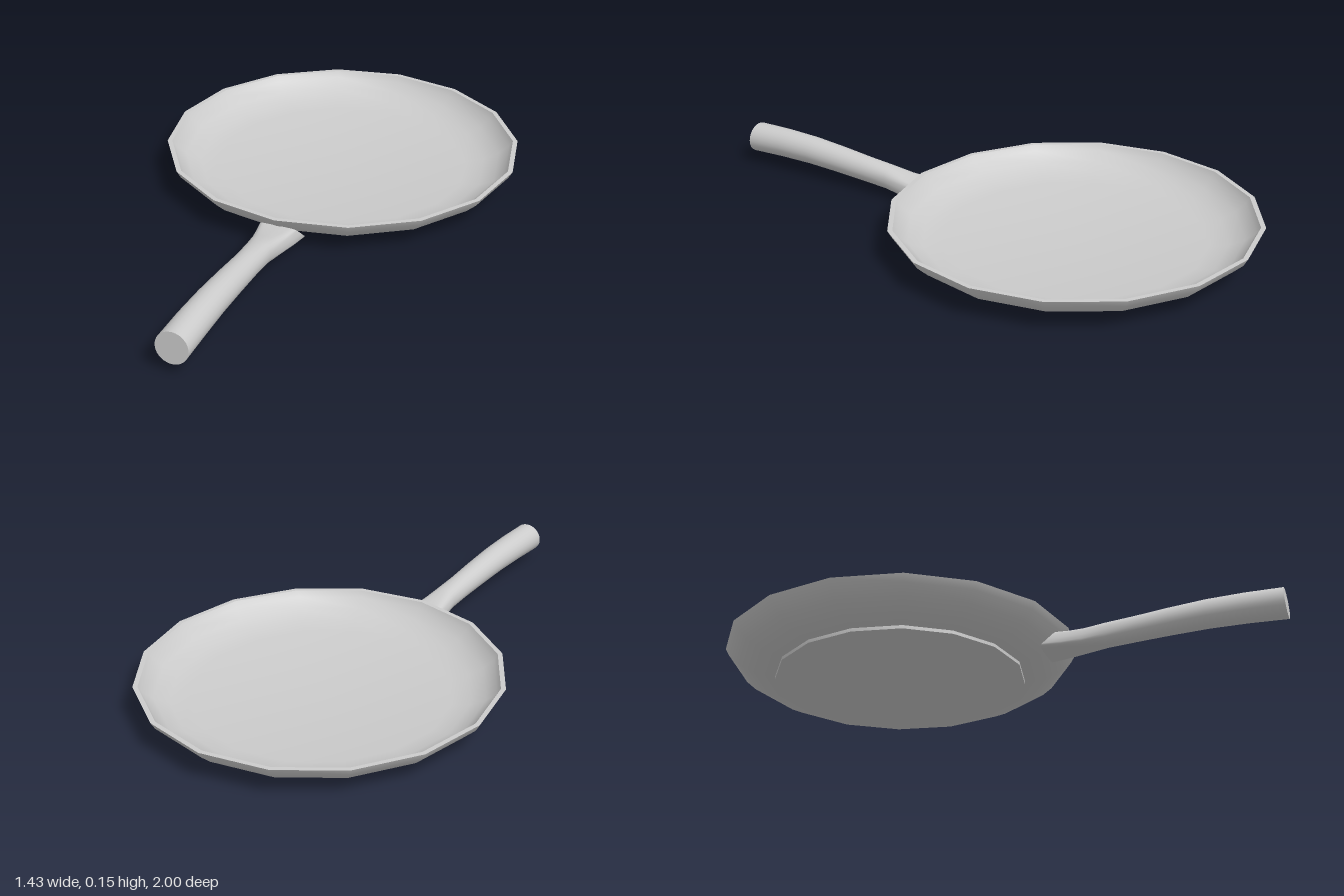
import * as THREE from 'three';
import { toCreasedNormals } from 'three/addons/utils/BufferGeometryUtils.js';

const SIDES = 16;
const material = new THREE.MeshStandardMaterial({ color: 0xcccccc });

function part(name, geometry, crease = 0.6) {
  const mesh = new THREE.Mesh(toCreasedNormals(geometry, crease), material);
  mesh.name = name;
  return mesh;
}

// Profile turned about the vertical axis, one corner pointing at the handle
function turned(profile) {
  return new THREE.LatheGeometry(profile.map(([r, y]) => new THREE.Vector2(r, y)), SIDES);
}

// Skin over cross-sections along +z, closed with a cap at each end.
// z, centre height, half width, half height, squareness, taper to the top, slant
function loft(sections, sides) {
  const positions = [], index = [];
  const power = (v, p) => Math.sign(v) * Math.abs(v) ** p;
  for (const [z, cy, hx, hy, square, taper, slant] of sections) {
    for (let j = 0; j < sides; j++) {
      const a = (j / sides) * Math.PI * 2;
      const c = power(Math.cos(a), square), s = power(Math.sin(a), square);
      positions.push(hx * c * (1 - taper * s), cy + hy * s, z + slant * hy * s);
    }
  }
  const rings = sections.length;
  for (let i = 0; i < rings - 1; i++) {
    for (let j = 0; j < sides; j++) {
      const a = i * sides + j, b = i * sides + (j + 1) % sides;
      index.push(a, b, a + sides, b, b + sides, a + sides);
    }
  }
  const first = rings * sides, last = first + 1, end = (rings - 1) * sides;
  const startSection = sections[0], endSection = sections[rings - 1];
  positions.push(0, startSection[1], startSection[0], 0, endSection[1], endSection[0]);
  for (let j = 0; j < sides; j++) {
    const k = (j + 1) % sides;
    index.push(first, k, j, last, end + j, end + k);
  }
  const geometry = new THREE.BufferGeometry();
  geometry.setAttribute('position', new THREE.Float32BufferAttribute(positions, 3));
  geometry.setIndex(index);
  return geometry;
}

export function createModel() {
  const pan = new THREE.Group();
  pan.name = 'fryingPan';

  // Shallow dish: underside, flared wall, rim, inside wall and floor
  pan.add(part('dish', turned([
    [0, 0.012], [0.5, 0.013], [0.56, 0.027], [0.62, 0.058], [0.66, 0.095], [0.675, 0.122],
    [0.657, 0.122], [0.643, 0.1], [0.605, 0.068], [0.55, 0.044], [0.48, 0.032], [0, 0.028],
  ])));

  // Thin plate under the dish
  pan.add(part('basePlate', turned([[0, 0], [0.48, 0], [0.48, 0.014], [0, 0.014]])));

  // Handle: broad boxy foot against the wall, narrow neck, round grip
  pan.add(part('handle', loft([
    [0.615, 0.055, 0.078, 0.031, 0.3, 0.13, 1],
    [0.675, 0.056, 0.068, 0.033, 0.4, 0.12, 0.6],
    [0.74, 0.06, 0.058, 0.037, 0.6, 0.08, 0.2],
    [0.82, 0.069, 0.049, 0.044, 0.85, 0, 0],
    [0.93, 0.077, 0.049, 0.048, 1, 0, 0],
    [1.06, 0.087, 0.052, 0.051, 1, 0, 0],
    [1.2, 0.095, 0.055, 0.054, 1, 0, 0],
    [1.34, 0.096, 0.058, 0.056, 1, 0, 0],
    [1.485, 0.092, 0.059, 0.058, 1, 0, -0.05],
  ], 24), 0.7));

  pan.rotation.y = THREE.MathUtils.degToRad(28.5);
  pan.position.set(-0.045, 0, -0.33);

  const model = new THREE.Group();
  model.add(pan);
  return model;
}
